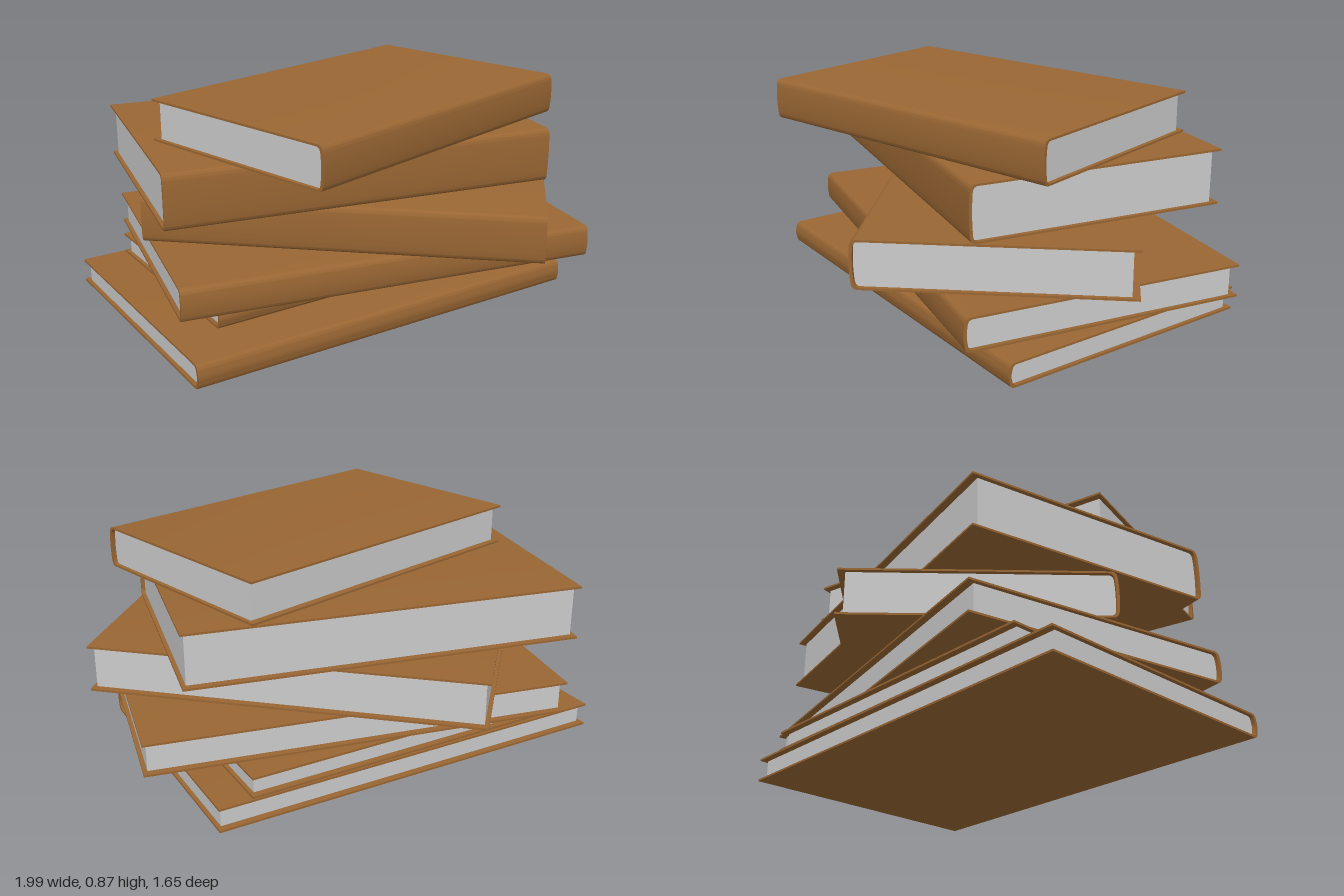
import * as THREE from 'three';
import { toCreasedNormals } from 'three/addons/utils/BufferGeometryUtils.js';

const coverMaterial = new THREE.MeshStandardMaterial({ color: 0x996633 });
const pageMaterial = new THREE.MeshStandardMaterial({ color: 0xcccccc });

const BOARD = 0.008;      // cover thickness
const SPINE = 0.012;      // spine thickness
const BACK_INSET = 0.028; // pages set back from the fore edge
const END_INSET = 0.016;  // pages set back from head and tail

// Rounded spine profile from the lower board round to the upper board (spine at s).
function spineCurve(path, s, y0, y1, r, bulge) {
  const mid = (y0 + y1) / 2;
  path.quadraticCurveTo(s + bulge, y0, s + bulge * 0.6, y0 + r);
  path.quadraticCurveTo(s - bulge * 0.6, mid, s + bulge * 0.6, y1 - r);
  path.quadraticCurveTo(s + bulge, y1, s + r, y1);
}

// Extrudes a side profile along the length of the book, spine towards +z.
function extrudeAlongX(shape, length) {
  const geometry = new THREE.ExtrudeGeometry(shape, { depth: length, bevelEnabled: false, curveSegments: 8 });
  geometry.translate(0, 0, -length / 2);
  geometry.rotateY(Math.PI / 2);
  return toCreasedNormals(geometry, 0.6);
}

function createBook(length, depth, height) {
  const front = -depth / 2, back = depth / 2;
  const r = Math.min(0.028, height * 0.3);
  const ri = r * 0.8;
  const lo = BOARD, hi = height - BOARD;
  const inner = front + SPINE;

  // Cover: a U-shaped strip of two boards and a rounded spine
  const cover = new THREE.Shape();
  cover.moveTo(back, 0);
  cover.lineTo(front + r, 0);
  spineCurve(cover, front, 0, height, r, 0.005);
  cover.lineTo(back, height);
  cover.lineTo(back, hi);
  cover.lineTo(inner + ri, hi);
  // inner side of the spine, running back down
  cover.quadraticCurveTo(inner + 0.005, hi, inner + 0.003, hi - ri);
  cover.quadraticCurveTo(inner - 0.003, height / 2, inner + 0.003, lo + ri);
  cover.quadraticCurveTo(inner + 0.005, lo, inner + ri, lo);
  cover.lineTo(back, lo);
  cover.closePath();

  // Page block fitting inside the cover
  const pages = new THREE.Shape();
  pages.moveTo(back - BACK_INSET, lo);
  pages.lineTo(inner + ri, lo);
  spineCurve(pages, inner, lo, hi, ri, 0.005);
  pages.lineTo(back - BACK_INSET, hi);
  pages.closePath();

  const book = new THREE.Group();
  const coverMesh = new THREE.Mesh(extrudeAlongX(cover, length), coverMaterial);
  coverMesh.name = 'cover';
  const pageMesh = new THREE.Mesh(extrudeAlongX(pages, length - 2 * END_INSET), pageMaterial);
  pageMesh.name = 'pages';
  book.add(coverMesh, pageMesh);
  return book;
}

export function createModel() {
  const stack = new THREE.Group();
  stack.name = 'bookStack';

  // Bottom to top: length, depth, height, x, z, turn in degrees
  const books = [
    [1.675, 1.098, 0.096, -0.075, -0.007, 10.5],
    [1.36, 0.885, 0.084, -0.068, -0.107, 10.8],
    [1.667, 1.09, 0.128, 0.035, -0.01, -1],
    [1.528, 1.0, 0.186, 0.082, -0.007, -30.9],
    [1.535, 1.003, 0.214, -0.053, -0.055, -1],
    [1.357, 0.882, 0.162, 0.04, 0.136, 24.9],
  ];

  let y = 0;
  books.forEach(([length, depth, height, x, z, turn], i) => {
    const book = createBook(length, depth, height);
    book.name = `book${i + 1}`;
    book.position.set(x, y, z);
    book.rotation.y = THREE.MathUtils.degToRad(turn);
    stack.add(book);
    y += height;
  });
  return stack;
}
